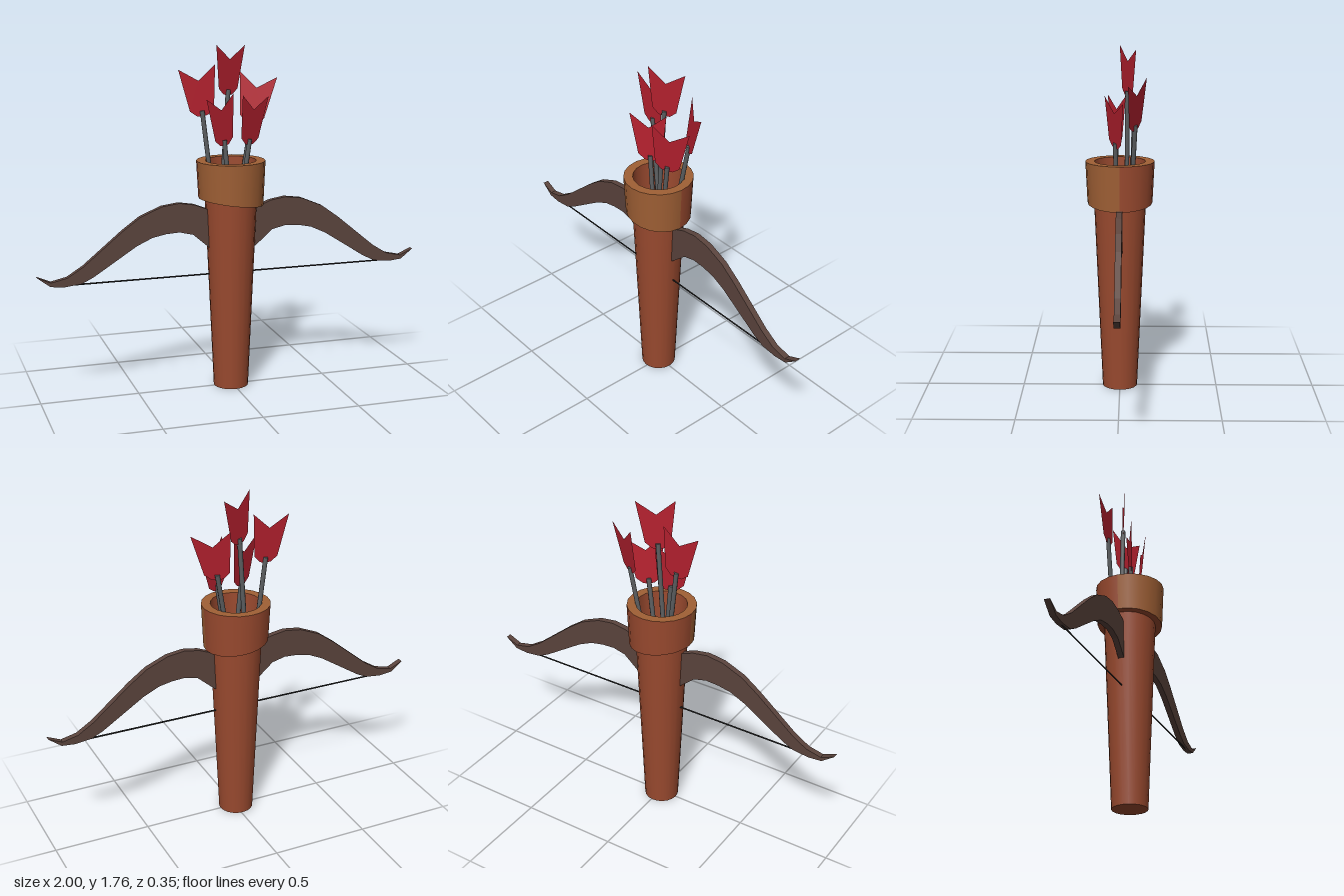
import * as THREE from 'three';

const mat = (name, color, side = THREE.FrontSide) => {
  const m = new THREE.MeshStandardMaterial({ color, side });
  m.name = name;
  return m;
};

export function createModel() {
  const root = new THREE.Group();
  root.name = 'quiverAndBow';

  const leather = mat('red brown leather', 0x9a4a2f);
  const tan = mat('tan leather', 0xa06035);
  const wood = mat('dark wood', 0x5b443d);
  const steel = mat('grey shaft', 0x5c5f61);
  const red = mat('red feather', 0xb4202e, THREE.DoubleSide);
  const black = mat('bow string', 0x242424);

  const add = (parent, name, geometry, material) => {
    const mesh = new THREE.Mesh(geometry, material);
    mesh.name = name;
    parent.add(mesh);
    return mesh;
  };

  // Quiver, turned from profiles with a hard edge between pieces
  const quiver = new THREE.Group();
  quiver.name = 'quiver';
  quiver.position.x = -0.008;
  root.add(quiver);

  const turn = (name, pts, material, start = 0, length = Math.PI * 2) => {
    const profile = pts.map(([r, y]) => new THREE.Vector2(r, y));
    const segments = Math.round(20 * length / (Math.PI * 2));
    return add(quiver, name, new THREE.LatheGeometry(profile, segments, start, length), material);
  };
  // The lower edge of the collar slopes down towards +x
  const slope = (mesh) => {
    const p = mesh.geometry.attributes.position;
    for (let i = 0; i < p.count; i++) {
      if (p.getY(i) < 1) p.setY(i, p.getY(i) - 0.13 * p.getX(i));
    }
  };

  turn('quiverBase', [[0, 0], [0.089, 0]], leather);
  turn('quiverBody', [[0.089, 0], [0.133, 1.02]], leather);
  turn('quiverLining', [[0.128, 1.18], [0.084, 0.02]], leather);
  turn('quiverFloor', [[0.084, 0.02], [0, 0.02]], leather);
  turn('collarRim', [[0.174, 1.18], [0.128, 1.18]], tan);
  const side = [[0.164, 0.971], [0.174, 1.18]];
  slope(turn('collarFront', side, tan, -Math.PI / 2, Math.PI));
  slope(turn('collarBack', side, leather, Math.PI / 2, Math.PI));
  slope(turn('collarUnderside', [[0.125, 0.971], [0.164, 0.971]], leather));

  // Bow, a mirrored outline given a small depth
  const bow = new THREE.Group();
  bow.name = 'bow';
  root.add(bow);
  const upper = [[0, 0.85], [0.12, 0.933], [0.2, 0.965], [0.28, 0.978], [0.37, 0.966],
    [0.48, 0.92], [0.57, 0.855], [0.77, 0.69], [0.85, 0.64], [0.93, 0.622], [1, 0.653]];
  const lower = [[0.935, 0.602], [0.865, 0.595], [0.78, 0.605], [0.72, 0.634], [0.5, 0.775],
    [0.42, 0.812], [0.35, 0.826], [0.28, 0.83], [0.21, 0.813], [0.12, 0.735], [0, 0.68]];
  const half = [...upper, ...lower];
  const mirrored = half.slice(1, -1).reverse().map(([x, y]) => [-x, y]);
  const outline = new THREE.Shape([...half, ...mirrored].map(([x, y]) => new THREE.Vector2(x, y)));
  const limbs = new THREE.ExtrudeGeometry(outline, { depth: 0.03, bevelEnabled: false });
  limbs.translate(0, 0, -0.015);
  add(bow, 'bowLimbs', limbs, wood);

  const string = add(bow, 'bowString', new THREE.CylinderGeometry(0.004, 0.004, 1.74, 6), black);
  string.rotation.z = Math.PI / 2;
  string.position.y = 0.6;

  // Feather plate with a notched end, its foot at the origin
  const feather = new THREE.ShapeGeometry(new THREE.Shape([
    [0, 0], [0.03, 0.006], [0.063, 0.035], [0.096, 0.25], [0, 0.18],
    [-0.096, 0.25], [-0.063, 0.035], [-0.03, 0.006],
  ].map(([x, y]) => new THREE.Vector2(x, y))));

  // Arrows: feather foot, shaft end inside the quiver, turn of the plate
  const arrows = [
    [[-0.012, 1.5, -0.037], [-0.08, 0.45, -0.03], 0.44],
    [[-0.132, 1.395, -0.07], [-0.02, 0.45, -0.05], 0],
    [[0.122, 1.35, -0.075], [-0.04, 0.45, -0.03], -0.48],
    [[-0.045, 1.255, 0.02], [0.03, 0.45, 0.03], 0.5],
    [[0.08, 1.255, 0.022], [-0.03, 0.45, 0.0], 0.5],
  ];
  arrows.forEach(([top, foot, turnY], i) => {
    const arrow = new THREE.Group();
    arrow.name = `arrow${i + 1}`;
    const head = new THREE.Vector3(...top);
    const up = head.clone().sub(new THREE.Vector3(...foot));
    const length = up.length();
    up.normalize();
    const across = new THREE.Vector3(Math.cos(turnY), 0, -Math.sin(turnY));
    const normal = across.clone().cross(up).normalize();
    across.crossVectors(up, normal);
    arrow.quaternion.setFromRotationMatrix(new THREE.Matrix4().makeBasis(across, up, normal));
    arrow.position.copy(head);
    const shaft = new THREE.CylinderGeometry(0.012, 0.012, length + 0.03, 8);
    shaft.translate(0, 0.015 - length / 2, 0);
    add(arrow, 'shaft', shaft, steel);
    add(arrow, 'feather', feather, red);
    root.add(arrow);
  });

  return root;
}
